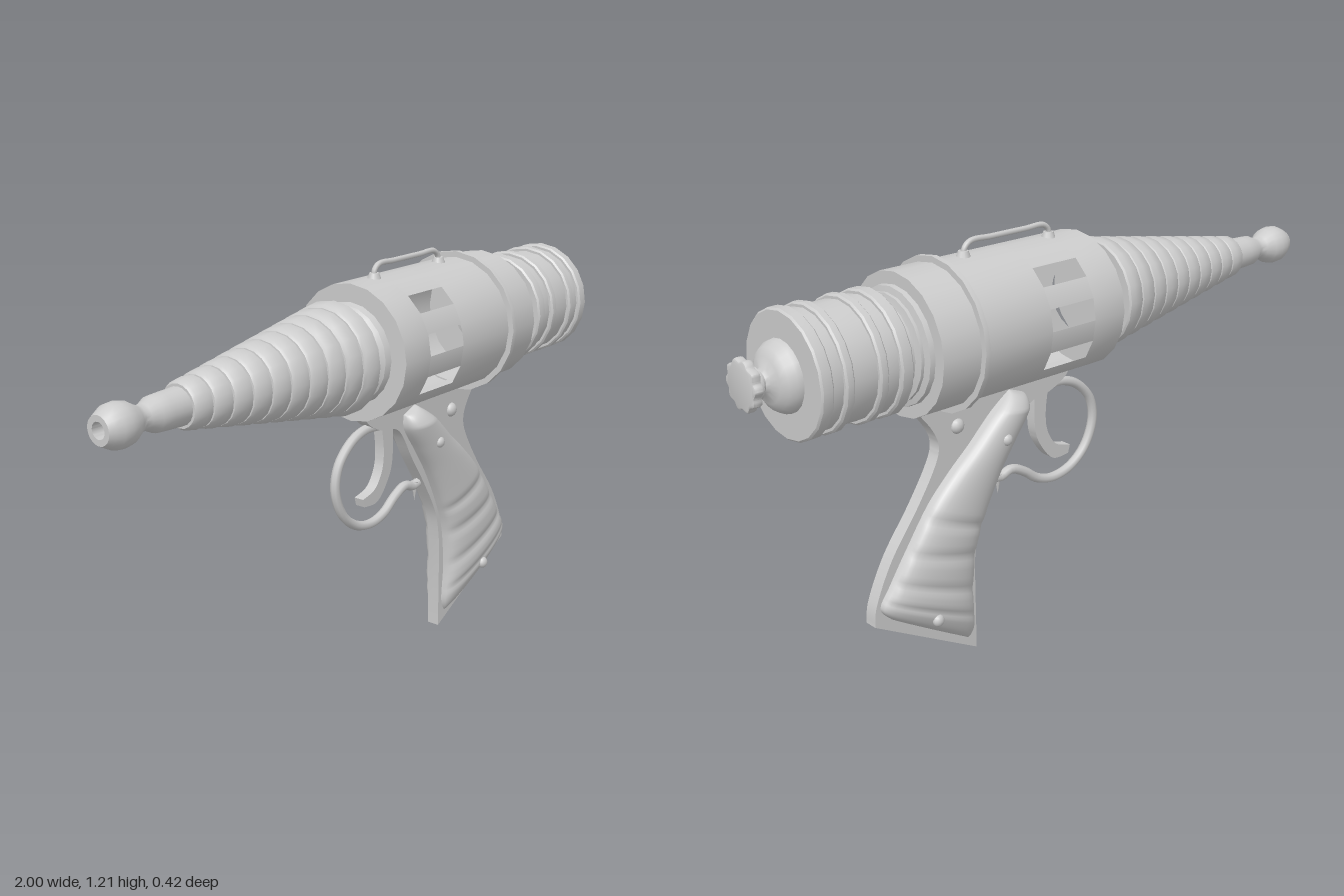
import * as THREE from 'three';
import { toCreasedNormals } from 'three/addons/utils/BufferGeometryUtils.js';

const AXIS = 0.97; // height of the barrel axis
const SIDES = 20;
const mat = new THREE.MeshStandardMaterial({ color: 0xcccccc });
const thin = new THREE.MeshStandardMaterial({ color: 0xcccccc, side: THREE.DoubleSide });
const v2 = ([x, y]) => new THREE.Vector2(x, y);

function add(group, name, geometry, material = mat) {
  const mesh = new THREE.Mesh(geometry, material);
  mesh.name = name;
  group.add(mesh);
  return mesh;
}

// Turned part along x; profile is [x, radius] from low x to high x
function turned(profile, phi = 0, sweep = Math.PI * 2, sides = SIDES) {
  const g = new THREE.LatheGeometry(profile.map(([x, r]) => new THREE.Vector2(r, x)), sides, phi, sweep);
  return g.rotateZ(-Math.PI / 2).translate(0, AXIS, 0);
}
const creased = (profile) => toCreasedNormals(turned(profile), 0.6);

function plate(shape, half) {
  const g = new THREE.ExtrudeGeometry(shape, { depth: half * 2, bevelEnabled: false, curveSegments: 6 });
  return toCreasedNormals(g.translate(0, 0, -half), 0.6);
}

const tube = (pts, r, n = 40) => new THREE.TubeGeometry(
  new THREE.CatmullRomCurve3(pts.map(([x, y]) => new THREE.Vector3(x, y, 0))), n, r, 8);

// Swelling grip panel swept from paired front and rear edge points
function gripPanel(side) {
  const front = new THREE.SplineCurve([[.128, .745], [.13, .70], [.18, .625], [.235, .54], [.29, .43],
    [.325, .33], [.337, .2], [.33, .09], [.345, .045]].map(v2));
  const rear = new THREE.SplineCurve([[.18, .765], [.25, .715], [.33, .64], [.40, .58], [.475, .505],
    [.55, .40], [.61, .31], [.645, .25], [.61, .205]].map(v2));
  const N = 80, M = 16, pos = [], index = [];
  for (let i = 0; i <= N; i++) {
    const t = i / N, k = t * 8, a = front.getPoint(t), b = rear.getPoint(t);
    let depth = 0.06 * Math.min(1, Math.sqrt(k / 0.9)) * Math.min(1, Math.pow((8 - k) / 1.5, 0.55));
    // Finger grooves
    for (const g of [4.3, 5.1, 5.9, 6.6]) depth *= 1 - 0.13 * Math.exp(-(((k - g) / 0.13) ** 2));
    for (let j = 0; j <= M; j++) {
      const ang = Math.PI * j / M, u = (1 - Math.cos(ang)) / 2;
      const z = 0.018 + depth * Math.pow(Math.max(0, Math.sin(ang)), 0.65);
      pos.push(a.x + (b.x - a.x) * u, a.y + (b.y - a.y) * u, side * z);
      if (i < N && j < M) {
        const p = i * (M + 1) + j, q = p + M + 1;
        if (side > 0) index.push(p, q, p + 1, q, q + 1, p + 1);
        else index.push(p, p + 1, q, q, p + 1, q + 1);
      }
    }
  }
  const g = new THREE.BufferGeometry();
  g.setAttribute('position', new THREE.Float32BufferAttribute(pos, 3));
  g.setIndex(index);
  g.computeVertexNormals();
  return g;
}

export function createModel() {
  const model = new THREE.Group();
  model.name = 'rayGun';

  // Body shell with a band of window openings
  const body = new THREE.Group();
  body.name = 'body';
  model.add(body);
  const R = 0.195, step = Math.PI * 2 / SIDES, open = [1, 8, 10, 12, 17, 19];
  add(body, 'frontShell', toCreasedNormals(turned([[-.09, .10], [-.09, R], [.02, R]]), 0.6), thin);
  add(body, 'rearShell', toCreasedNormals(turned([[.175, R], [.54, R], [.54, .10]]), 0.6), thin);
  for (let k = 0; k < SIDES; k++) {
    if (!open.includes(k)) add(body, 'windowBar', turned([[.02, R], [.175, R]], k * step, step, 1), thin);
  }
  add(body, 'bodyRing', creased([[.402, .19], [.402, .212], [.418, .212], [.418, .19]]));

  // Barrel: hollow muzzle, neck, then growing rounded rings
  const barrel = [[-.92, 0], [-.92, .022], [-1, .022], [-1, .038], [-.985, .046], [-.965, .056], [-.94, .058],
    [-.915, .053], [-.89, .038], [-.875, .032], [-.86, .034], [-.835, .046], [-.80, .048], [-.745, .05]];
  const rings = 10, w = 0.0595;
  for (let i = 0; i < rings; i++) {
    const x = -.745 + i * w, r = .063 + .0102 * i;
    barrel.push([x, r - .006], [x + .008, r], [x + w * .6, r + .005], [x + w - .006, r + .004], [x + w - .001, r - .003]);
  }
  barrel.push([-.15, .155], [-.15, 0]);
  add(model, 'barrel', creased(barrel));
  add(model, 'barrelCollar', creased([[-.155, .12], [-.135, .11], [-.12, .125], [-.11, .14], [-.085, .145]]));

  // Ribbed neck behind the body
  const neck = [[.53, .162], [.555, .16]];
  for (let i = 0; i < 3; i++) {
    const x = .56 + i * .018, r = .146 - i * .014;
    neck.push([x, r - .012], [x + .003, r], [x + .012, r], [x + .015, r - .016]);
  }
  neck.push([.62, .105]);
  add(model, 'rearNeck', creased(neck));

  // Banded rear chamber
  const chamber = [[.61, 0], [.61, .156]];
  for (const [a, b] of [[.61, .648], [.685, .712], [.785, .812], [.845, .882]]) {
    chamber.push([a, .157], [a, .164], [a + .005, .169], [b - .005, .169], [b, .164], [b, .157]);
  }
  chamber.push([.882, 0]);
  add(model, 'rearChamber', creased(chamber));
  add(model, 'rearDome', creased([[.88, .095], [.897, .092], [.915, .08], [.928, .06], [.936, .035],
    [.945, .027], [.955, .03], [.96, .045], [.966, .045], [.97, .028], [.985, .03]]));

  // Scalloped knob
  const lobes = new THREE.Shape();
  for (let i = 0; i < 80; i++) {
    const a = i / 80 * Math.PI * 2, r = .061 + .004 * Math.cos(a * 10);
    lobes[i ? 'lineTo' : 'moveTo'](r * Math.cos(a), r * Math.sin(a));
  }
  const knob = new THREE.ExtrudeGeometry(lobes, { depth: .014, bevelThickness: .006, bevelSize: .005, bevelOffset: -.002, bevelSegments: 2 });
  add(model, 'knob', toCreasedNormals(knob.rotateY(Math.PI / 2).translate(.98, AXIS + .003, 0), 0.6));

  // Top rail and its feet
  add(model, 'topRail', tube([[.015, 1.16], [.016, 1.185], [.035, 1.2], [.10, 1.2], [.22, 1.2], [.29, 1.2], [.31, 1.185], [.315, 1.16]], .008));
  for (const x of [.015, .315]) {
    add(model, 'railFoot', new THREE.CylinderGeometry(.014, .02, .016, 12).translate(x, 1.17, 0));
  }

  // Grip frame plate
  const frame = new THREE.Shape();
  frame.moveTo(-.055, .785);
  frame.splineThru([[-.03, .75], [.03, .72], [.107, .70], [.17, .60], [.24, .49], [.295, .385], [.315, .28]].map(v2));
  frame.lineTo(.315, .003);
  frame.lineTo(.665, .2);
  frame.splineThru([[.655, .265], [.6, .38], [.513, .50], [.45, .60], [.43, .66], [.45, .715], [.505, .785]].map(v2));
  add(model, 'gripFrame', plate(frame, .02));

  // Grip panels, screws and frame rivets on both sides
  for (const side of [1, -1]) {
    add(model, 'gripPanel', gripPanel(side), thin);
    for (const [x, y, z, r] of [[.365, .705, .018, .022], [.235, .645, .074, .017], [.487, .175, .068, .018]]) {
      const dome = new THREE.SphereGeometry(r, 14, 8).scale(1, 1, .8);
      add(model, 'rivet', dome.translate(x, y, side * z));
    }
  }

  // Trigger
  const trigger = new THREE.Shape();
  trigger.moveTo(.03, .735);
  trigger.splineThru([[.04, .66], [.033, .60], [0, .55], [-.055, .532]].map(v2));
  trigger.lineTo(-.048, .507);
  trigger.splineThru([[.01, .508], [.055, .555], [.08, .615], [.083, .72]].map(v2));
  add(model, 'trigger', plate(trigger, .016));

  // Trigger guard with curled end
  add(model, 'triggerGuard', tube([[.03, .73], [-.03, .732], [-.09, .71], [-.145, .655], [-.16, .585], [-.13, .505],
    [-.07, .455], [0, .44], [.06, .455], [.11, .49], [.16, .512], [.2, .5], [.225, .505]], .014, 60));
  add(model, 'guardSpur', new THREE.ConeGeometry(.012, .06, 8).rotateZ(Math.PI).translate(.21, .482, 0));

  return model;
}
